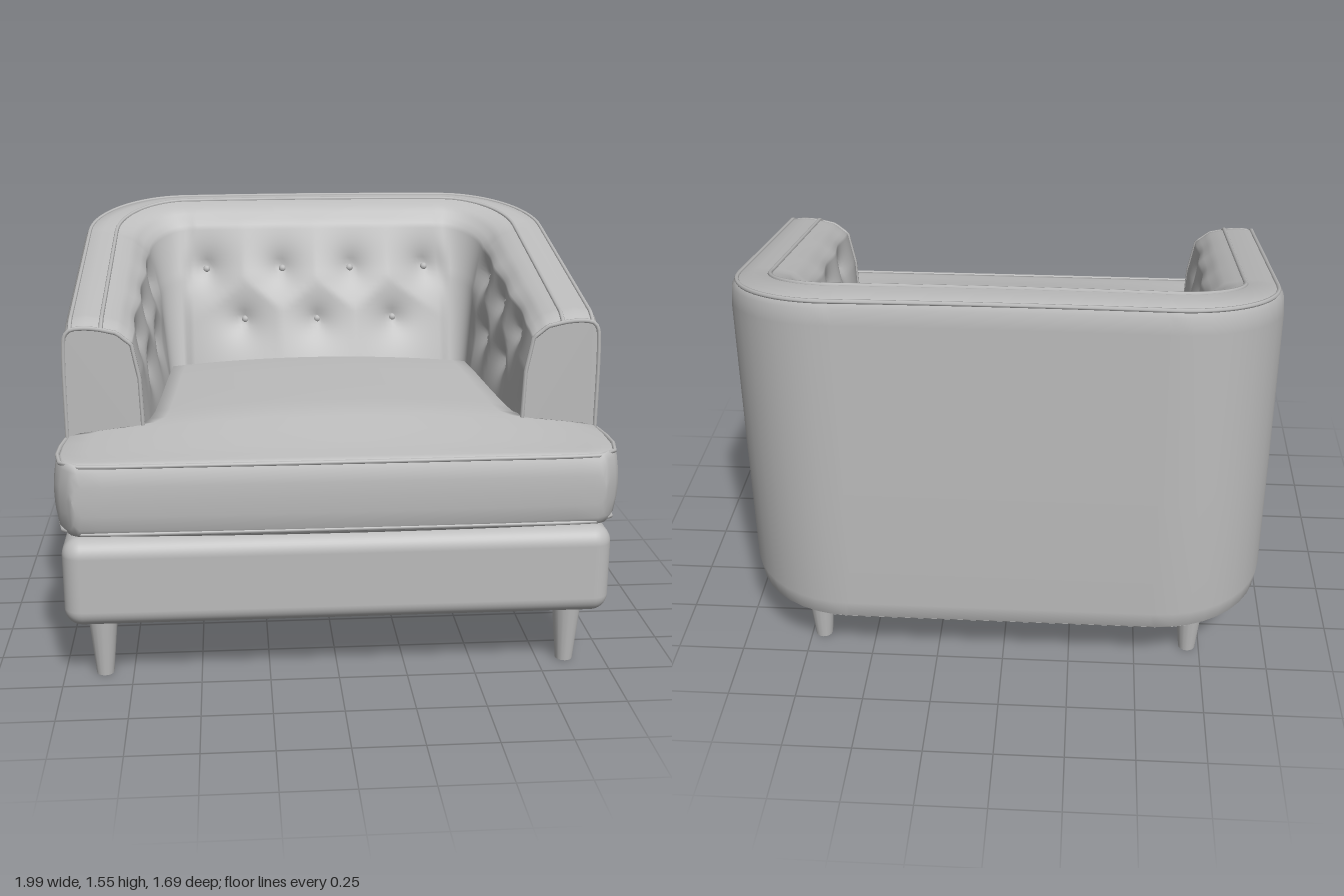
import * as THREE from 'three';
import { RoundedBoxGeometry } from 'three/addons/geometries/RoundedBoxGeometry.js';

const V = (x, y, z) => new THREE.Vector3(x, y, z);
const lerp = THREE.MathUtils.lerp;
const FRONT = 0.485, NS = 36, NC = 10, NB = 60;

// Skin over rows of points
function loft(rows, closed = false) {
  const n = rows[0].length, pos = [], idx = [];
  rows.forEach(r => r.forEach(p => pos.push(p.x, p.y, p.z)));
  for (let i = 0; i < rows.length - 1; i++) {
    for (let j = 0; j < (closed ? n : n - 1); j++) {
      const k = (j + 1) % n;
      const a = i * n + j, b = (i + 1) * n + j, c = i * n + k, d = (i + 1) * n + k;
      idx.push(a, c, b, b, c, d);
    }
  }
  const g = new THREE.BufferGeometry();
  g.setAttribute('position', new THREE.Float32BufferAttribute(pos, 3));
  g.setIndex(idx);
  g.computeVertexNormals();
  return g;
}

// U-shaped plan line from the left arm front, round the back, to the right arm front
function planU(hxFront, hx, back, r) {
  const half = [];
  for (let i = 0; i < NS; i++) {
    const t = i / NS;
    half.push({ x: lerp(hxFront, hx, t), z: lerp(FRONT, back + r, t), part: 'side' });
  }
  for (let i = 0; i < NC; i++) {
    const a = (i / NC) * Math.PI / 2;
    half.push({ x: hx - r + r * Math.cos(a), z: back + r - r * Math.sin(a), part: 'corner' });
  }
  for (let i = 0; i < NB / 2; i++) half.push({ x: (hx - r) * (1 - 2 * i / NB), z: back, part: 'back' });
  const other = half.map(p => ({ ...p, x: -p.x })).reverse();
  return [...half, { x: 0, z: back, part: 'back' }, ...other];
}

// Height of the sloping rim
const rimY = p => 1.28 + (0.44 - p.z) * 0.2 + 0.01 * (1 - p.x * p.x) - 0.4 * Math.max(0, p.z - 0.44);
const outer = planU(0.965, 0.965, -0.845, 0.4);
const rim = outer.map(rimY);

// Tufting points: [along, height]
const backTufts = [[-0.46, 1.28], [-0.15, 1.28], [0.15, 1.28], [0.46, 1.28], [-0.31, 1.07], [0, 1.07], [0.32, 1.07]];
const sideTufts = [[0.24, 1.16], [-0.05, 1.21], [-0.33, 1.26], [0.1, 1.02], [-0.19, 1.05]];

function dimple(list, u, y) {
  let d = 0;
  for (const [a, b] of list) d = Math.max(d, Math.exp(-Math.hypot(u - a, y - b) / 0.075));
  return 0.065 * d - 0.012;
}

function key(keys, f) {
  let i = 0;
  while (i < keys.length - 2 && f > keys[i + 1][0]) i++;
  const a = keys[i], b = keys[i + 1], t = (f - a[0]) / (b[0] - a[0]);
  return a.map((v, k) => lerp(v, b[k], t));
}

function paddedRows() {
  // fraction down, half width at front, half width at back, back z, corner radius
  const keys = [[0, 0.83, 0.83, -0.70, 0.28], [0.03, 0.775, 0.765, -0.645, 0.24],
    [0.12, 0.725, 0.70, -0.585, 0.18], [0.4, 0.70, 0.66, -0.49, 0.12], [1, 0.69, 0.62, -0.33, 0.08]];
  const steps = [0.012, 0.03, 0.06, 0.09];
  for (let i = 0; i <= 32; i++) steps.push(0.12 + 0.88 * i / 32);
  return steps.map(f => {
    const [, hf, hb, back, r] = key(keys, f);
    return planU(hf, hb, back, r).map((p, j) => {
      const y = lerp(rim[j], 0.8, f), fade = Math.min(1, f / 0.12);
      const q = V(p.x, y, p.z - 0.08 * f * (p.x / 0.6) ** 2 * (p.part === 'side' ? 0 : 1));
      if (p.part === 'back') q.z -= fade * dimple(backTufts, p.x, y);
      if (p.part === 'side') q.x += Math.sign(p.x) * fade * dimple(sideTufts, p.z, y) * Math.min(1, (FRONT - p.z) / 0.1);
      return q;
    });
  });
}

// T-shaped seat cushion built from cross-sections running front to back
function cushion() {
  const stations = [[-0.325, 0.6, 0], [-0.325, 0.6, 0.8], [-0.315, 0.62, 0.95], [-0.29, 0.63, 1], [-0.1, 0.645, 1],
    [0.15, 0.66, 1], [0.35, 0.675, 1], [0.43, 0.69, 1], [0.47, 0.73, 1], [0.488, 0.80, 1], [0.492, 0.94, 1],
    [0.51, 0.975, 1], [0.6, 0.985, 1], [0.7, 0.985, 1], [0.76, 0.975, 1], [0.8, 0.955, 1], [0.825, 0.93, 0.97],
    [0.84, 0.92, 0.78], [0.848, 0.91, 0.4], [0.848, 0.91, 0]];
  const n = 24;
  return loft(stations.map(([z, w, h]) => {
    const swell = 1 - THREE.MathUtils.smoothstep(z, 0.35, 0.86);
    const ring = [], add = (x, y) => ring.push(V(x, 0.74 + (y - 0.74) * h, z));
    for (let i = 0; i <= n; i++) {
      const x = (w - 0.02) * (1 - 2 * i / n);
      add(x, 0.865 + 0.08 * (1 - x * x) * swell);
    }
    [[0, 0.845], [0.01, 0.78], [0.012, 0.74], [0.01, 0.69], [0, 0.63]].forEach(([b, y]) => add(-w - b, y));
    for (let i = 0; i <= n; i++) {
      const x = (w - 0.02) * (2 * i / n - 1);
      add(x, 0.605 - 0.035 * (1 - x * x) * (0.4 + 0.6 * swell));
    }
    [[0, 0.63], [0.01, 0.69], [0.012, 0.74], [0.01, 0.78], [0, 0.845]].forEach(([b, y]) => add(w + b, y));
    return ring;
  }), true);
}

export function createModel() {
  const group = new THREE.Group();
  group.name = 'tuftedArmchair';
  const grey = new THREE.MeshStandardMaterial({ color: 0xbcbcbc, side: THREE.DoubleSide });
  grey.name = 'greyUpholstery';
  const add = (name, geo, x = 0, y = 0, z = 0) => {
    const m = new THREE.Mesh(geo, grey);
    m.name = name;
    m.position.set(x, y, z);
    group.add(m);
    return m;
  };
  const piping = (name, pts, closed = false) =>
    add(name, new THREE.TubeGeometry(new THREE.CatmullRomCurve3(pts, closed), pts.length * 2, 0.008, 6, closed));
  const row = (hx, back, r, yOf) => planU(hx, hx, back, r).map((p, j) => V(p.x, yOf(rim[j]), p.z));

  // Outer shell and rounded rim
  const shell = [
    row(0.935, -0.815, 0.37, () => 0.237), row(0.957, -0.835, 0.39, () => 0.255),
    row(0.967, -0.845, 0.40, () => 0.32), row(0.967, -0.845, 0.40, () => 0.8),
    row(0.965, -0.843, 0.40, t => t - 0.08), row(0.958, -0.838, 0.395, t => t - 0.02),
    row(0.94, -0.822, 0.38, t => t), row(0.885, -0.76, 0.33, t => t + 0.006), row(0.83, -0.70, 0.28, t => t)];
  add('outerShell', loft(shell));

  // Tufted inner padding
  const padding = paddedRows();
  const inner = [shell[8], ...padding];
  add('tuftedPadding', loft(inner));

  // Buttons sit at the deepest points of the tufting
  const cloud = padding.flat();
  const button = new THREE.SphereGeometry(0.016, 10, 8);
  const placeButton = (test, dist) => {
    let best = null, bd = Infinity;
    for (const p of cloud) if (test(p) && dist(p) < bd) { bd = dist(p); best = p; }
    add('button', button, best.x, best.y, best.z);
  };
  for (const [x, y] of backTufts) placeButton(p => p.z < -0.3 && Math.abs(p.x) < 0.55, p => Math.hypot(p.x - x, p.y - y));
  for (const s of [-1, 1]) for (const [z, y] of sideTufts)
    placeButton(p => p.x * s > 0.6 && p.z > -0.42, p => Math.hypot(p.z - z, p.y - y));

  // Arm fronts with piping around them
  for (const [name, s] of [['leftArmFront', 1], ['rightArmFront', -1]]) {
    const edge = [...shell, ...padding].map(r => r[0]);
    const pts = edge.map(p => new THREE.Vector2(p.x * s, p.y));
    pts.push(new THREE.Vector2(0.69 * s, 0.237));
    add(name, new THREE.ShapeGeometry(new THREE.Shape(pts)), 0, 0, FRONT);
    piping(name + 'Piping', edge.map(p => V(p.x * s, p.y, FRONT)));
  }
  piping('outerRimPiping', shell[6]);
  piping('innerRimPiping', shell[8]);

  // Underside and front rail
  const floor = new THREE.Shape(shell[0].map(p => new THREE.Vector2(p.x, -p.z)));
  const floorGeo = new THREE.ExtrudeGeometry(floor, { depth: 0.33, bevelEnabled: false });
  floorGeo.rotateX(-Math.PI / 2);
  add('baseFloor', floorGeo, 0, 0.236, 0);
  add('frontRail', new RoundedBoxGeometry(1.96, 0.33, 0.34, 5, 0.065), 0, 0.403, 0.62);

  // Seat cushion and its piping
  add('seatCushion', cushion());
  for (const [name, y] of [['cushionTopPiping', 0.858], ['cushionBottomPiping', 0.614]]) {
    const side = [[0.97, 0.51], [0.98, 0.6], [0.98, 0.7], [0.965, 0.77], [0.935, 0.815], [0.86, 0.828], [0.5, 0.832]];
    piping(name, [...side.map(([x, z]) => V(x, y, z)), ...side.map(([x, z]) => V(-x, y, z)).reverse()]);
  }

  // Tapered legs
  const leg = new THREE.CylinderGeometry(0.056, 0.032, 0.25, 16);
  for (const s of [-1, 1]) {
    add('frontLeg', leg, 0.855 * s, 0.125, 0.64);
    add('backLeg', leg, 0.705 * s, 0.125, -0.63);
  }
  return group;
}
